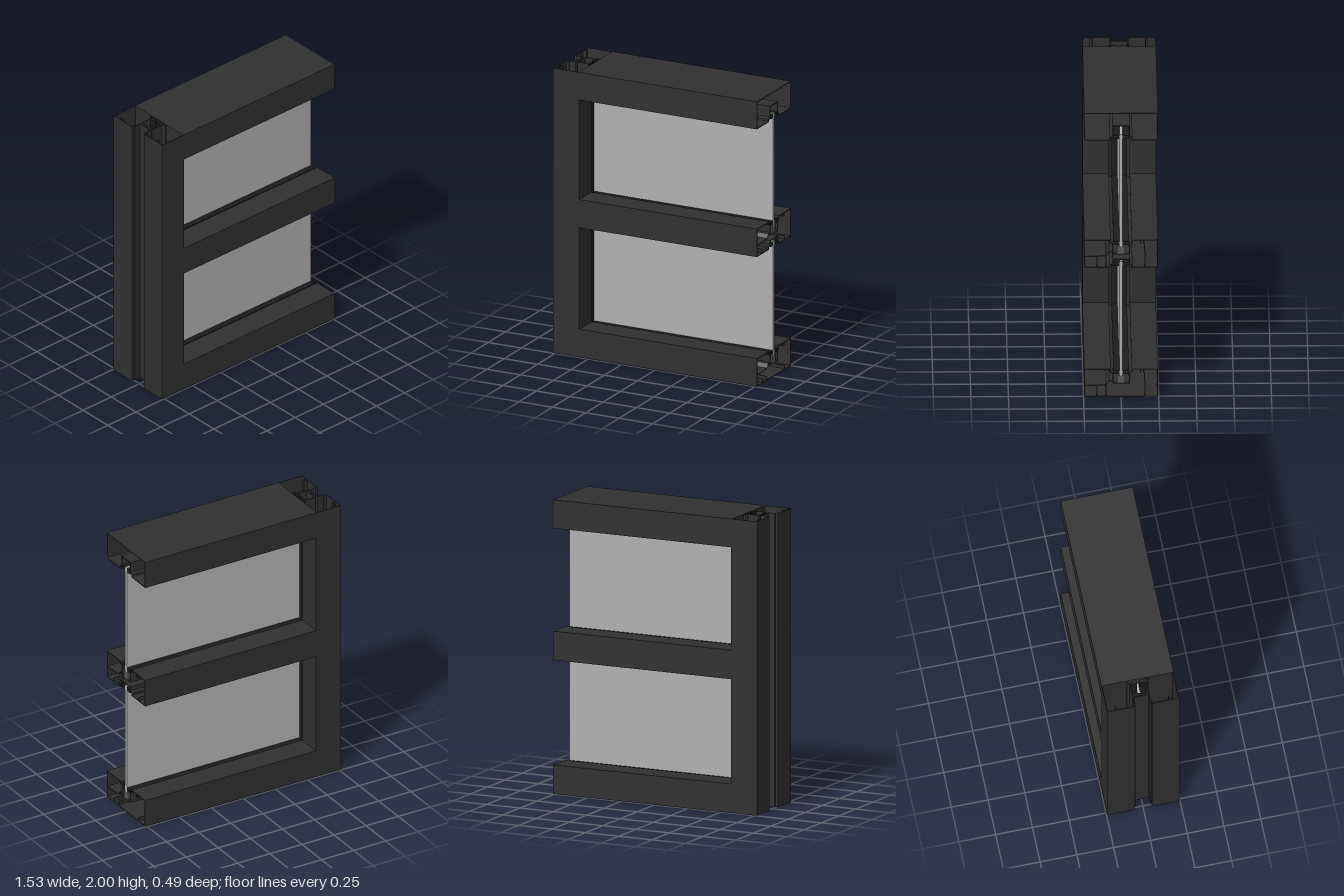
import * as THREE from 'three';

const WALL = 0.006, DEPTH = 0.245, LEFT = -0.765, RIGHT = 0.762, RAIL_START = -0.575;
const frameMat = new THREE.MeshStandardMaterial({ color: 0x303030, side: THREE.DoubleSide });
const gasketMat = new THREE.MeshStandardMaterial({ color: 0x1c1c1c });
const blockMat = new THREE.MeshStandardMaterial({ color: 0x585858 });
const glassMat = new THREE.MeshStandardMaterial({ color: 0xb0b0b0 });

// Moves every corner of a counter-clockwise outline inwards by t (mitred).
function inset(pts, t) {
  return pts.map((p, i) => {
    const a = pts[(i + pts.length - 1) % pts.length], b = pts[(i + 1) % pts.length];
    const d1 = p.clone().sub(a).normalize(), d2 = b.clone().sub(p).normalize();
    const n1 = new THREE.Vector2(-d1.y, d1.x), n2 = new THREE.Vector2(-d2.y, d2.x);
    return p.clone().addScaledVector(n1.clone().add(n2), t / (1 + n1.dot(n2)));
  });
}

// Thin-walled hollow section, open at both ends.
function hollow(coords, length) {
  const pts = coords.map(([x, y]) => new THREE.Vector2(x, y));
  const shape = new THREE.Shape(pts);
  shape.holes.push(new THREE.Path(inset(pts, WALL).reverse()));
  return new THREE.ExtrudeGeometry(shape, { depth: length, bevelEnabled: false });
}

function add(group, name, geometry, material) {
  const mesh = new THREE.Mesh(geometry, material);
  mesh.name = name;
  group.add(mesh);
  return mesh;
}

// Box given by its minimum and maximum on each axis.
function block(group, name, [x0, x1], [y0, y1], [z0, z1], material) {
  const mesh = add(group, name, new THREE.BoxGeometry(x1 - x0, y1 - y0, z1 - z0), material);
  mesh.position.set((x0 + x1) / 2, (y0 + y1) / 2, (z0 + z1) / 2);
}

// Right-hand half of a glazing pocket, from the mouth to its floor.
const pocketHalf = (mouth, floor) => {
  const s = Math.sign(floor - mouth);
  return [[0.07, mouth], [0.07, mouth + s * 0.018], [0.052, mouth + s * 0.026], [0.052, floor]];
};
const mirrored = (pts) => pts.map(([x, y]) => [-x, y]).reverse();

// Rail section: a box with an optional pocket in its underside and top.
function createRail(name, y, height, lowerFloor, upperFloor) {
  const rail = new THREE.Group();
  rail.name = name;
  const up = upperFloor === null ? [] : pocketHalf(height, upperFloor);
  const down = lowerFloor === null ? [] : pocketHalf(0, lowerFloor).reverse();
  const half = [...down, [DEPTH, 0], [DEPTH, height], ...up];
  const length = RIGHT - RAIL_START;
  const place = (geo) => geo.rotateY(Math.PI / 2).translate(RAIL_START, y, 0);
  add(rail, name + 'Profile', place(hollow([...half, ...mirrored(half)], length)), frameMat);

  // inner drainage web and small clip fins
  if (upperFloor !== null) {
    const web = [[-0.24, 0.075], [-0.1, 0.082], [-0.08, 0.108], [-0.052, 0.112]];
    const outline = [...web, ...web.map(([a, b]) => [a, b + WALL]).reverse()];
    const shape = new THREE.Shape(outline.map(([a, b]) => new THREE.Vector2(a, b)));
    add(rail, 'drainageWeb', place(new THREE.ExtrudeGeometry(shape, { depth: length, bevelEnabled: false })), frameMat);
    const span = [RAIL_START, RIGHT];
    for (const z of [0.16, 0.1, -0.16]) {
      block(rail, 'clipFin', span, [y, y + 0.03], [z - 0.003, z + 0.003], frameMat);
    }
    for (const z of [-0.13, -0.15]) {
      block(rail, 'clipFin', span, [y + height - 0.025, y + height - 0.003], [z - 0.003, z + 0.003], frameMat);
    }
    block(rail, 'settingBlock', span, [y + upperFloor, y + upperFloor + 0.05], [-0.026, 0.026], blockMat);
  }

  // gaskets on both faces of the glass
  const mouths = [];
  if (upperFloor !== null) mouths.push([height - 0.036, height - 0.012]);
  if (lowerFloor !== null) mouths.push([0.012, 0.036]);
  for (const [a, b] of mouths) {
    for (const z of [[0.01, 0.052], [-0.052, -0.01]]) {
      block(rail, 'gasket', [RAIL_START, RIGHT], [y + a, y + b], z, gasketMat);
    }
  }
  return rail;
}

// Upright with an outer joint channel and an inner glazing pocket.
function createJamb() {
  const jamb = new THREE.Group();
  jamb.name = 'jamb';
  const W = 0.195;
  const quarter = [[0.065, 0.05], [0.02, 0.05], [0.02, 0.06], [0, 0.06], [0, DEPTH]];
  const inner = [[W, DEPTH], ...pocketHalf(W, 0.09).map(([z, u]) => [u, z])];
  const side = [...quarter, ...inner];
  const loop = [...side.map(([u, z]) => [u, -z]), ...[...side].reverse()];
  const geo = hollow(loop, 2).rotateX(-Math.PI / 2).translate(LEFT, 0, 0);
  add(jamb, 'jambProfile', geo, frameMat);
  for (const s of [1, -1]) {
    const range = (a, b) => [Math.min(s * a, s * b), Math.max(s * a, s * b)];
    block(jamb, 'clipFin', [LEFT + 0.004, LEFT + 0.032], [0, 2], range(0.175, 0.181), frameMat);
    block(jamb, 'clipLip', [LEFT + 0.014, LEFT + 0.02], [0, 2], range(0.175, 0.195), frameMat);
    block(jamb, 'gasket', [LEFT + W - 0.036, LEFT + W - 0.012], [0, 2], range(0.01, 0.052), gasketMat);
  }
  return jamb;
}

export function createModel() {
  const model = new THREE.Group();
  model.name = 'glazedFrame';
  model.add(createJamb());
  model.add(createRail('bottomRail', 0, 0.197, null, 0.1));
  model.add(createRail('middleRail', 0.91, 0.197, 0.055, 0.1));
  model.add(createRail('topRail', 1.807, 0.193, 0.1, null));

  // glass panes
  for (const [name, y] of [['lowerGlass', [0.15, 0.955]], ['upperGlass', [1.06, 1.85]]]) {
    block(model, name, [-0.63, RIGHT], y, [-0.01, 0.01], glassMat);
  }
  return model;
}
